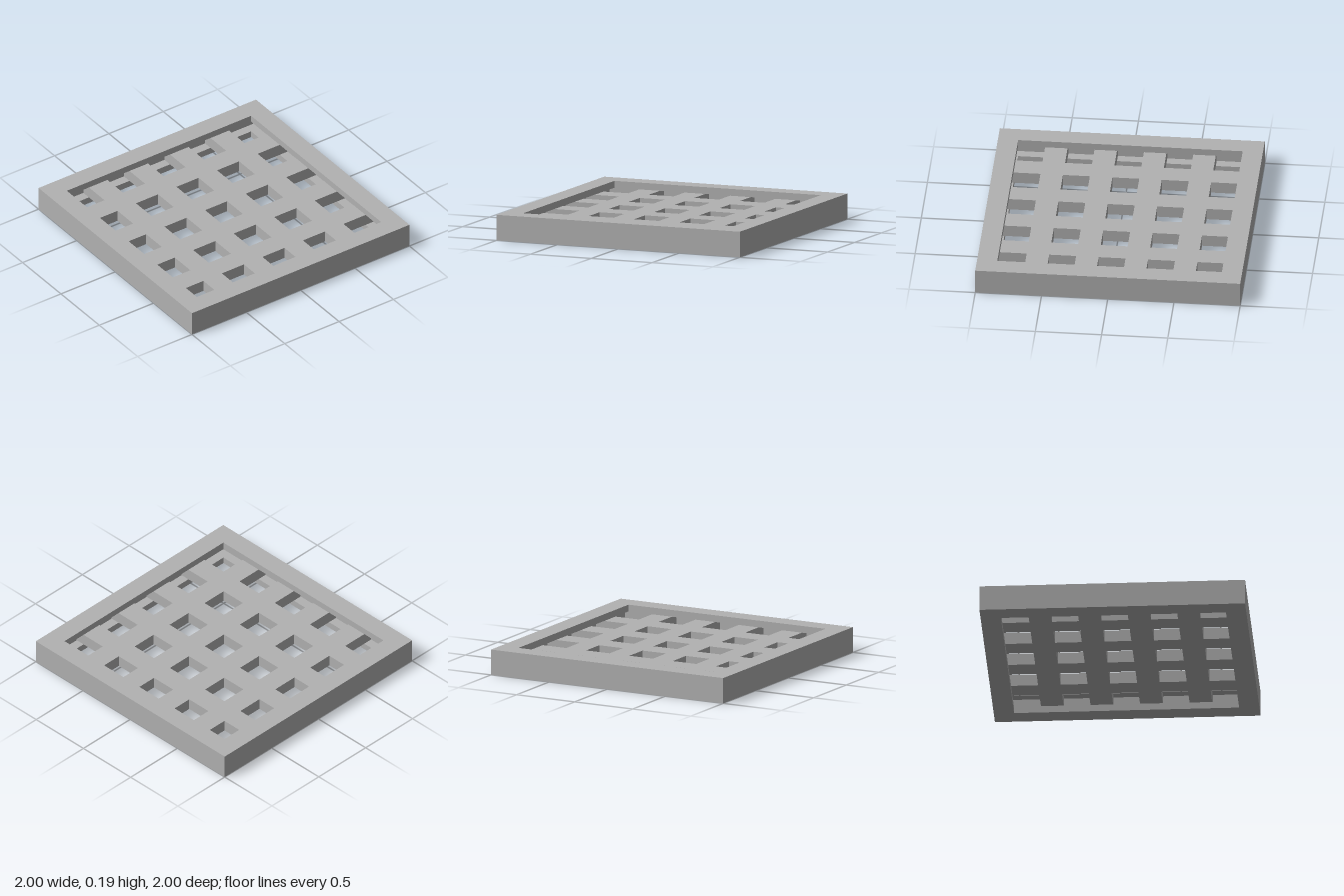
import * as THREE from 'three';

const HEIGHT = 0.195;
const LIP = 0.052;        // thickness of the lips above and below the groove
const INNER = 0.8475;     // half width of the opening
const GROOVE = 0.92;      // half width at the bottom of the groove
const BAR = 0.17;         // bar width
const GAP = (2 * INNER - 4 * BAR) / 5;

export function createModel() {
  const model = new THREE.Group();
  model.name = 'gratingPanel';
  const grey = new THREE.MeshStandardMaterial({ color: 0xb2b2b2 });
  grey.name = 'plainGrey';

  // Square frame: a closed section with an inner groove, swept round four sides
  const section = [
    [1, 0], [1, HEIGHT], [INNER, HEIGHT], [INNER, HEIGHT - LIP],
    [GROOVE, HEIGHT - LIP], [GROOVE, LIP], [INNER, LIP], [INNER, 0], [1, 0],
  ].map(([r, y]) => new THREE.Vector2(r * Math.SQRT2, y));
  const frameGeometry = new THREE.LatheGeometry(section, 4, Math.PI / 4).toNonIndexed();
  frameGeometry.computeVertexNormals();
  const frame = new THREE.Mesh(frameGeometry, grey);
  frame.name = 'frame';
  model.add(frame);

  // Lattice held in the groove
  const lattice = new THREE.Group();
  lattice.name = 'lattice';
  model.add(lattice);
  const addBar = (name, x0, x1, z0, z1) => {
    const geometry = new THREE.BoxGeometry(x1 - x0, HEIGHT - 2 * LIP, z1 - z0);
    const bar = new THREE.Mesh(geometry, grey);
    bar.name = name;
    bar.position.set((x0 + x1) / 2, HEIGHT / 2, (z0 + z1) / 2);
    lattice.add(bar);
  };

  const starts = [0, 1, 2, 3].map((i) => -INNER + GAP + i * (BAR + GAP));
  for (const start of starts) {
    // Full-length bar across the panel
    addBar('crossBar', -GROOVE, GROOVE, start, start + BAR);
    // Bar from back to front, in pieces between the cross bars
    for (let k = 0; k <= 4; k++) {
      const z0 = k === 0 ? -GROOVE : starts[k - 1] + BAR;
      const z1 = k === 4 ? GROOVE : starts[k];
      addBar('lengthBar', start, start + BAR, z0, z1);
    }
  }
  return model;
}
